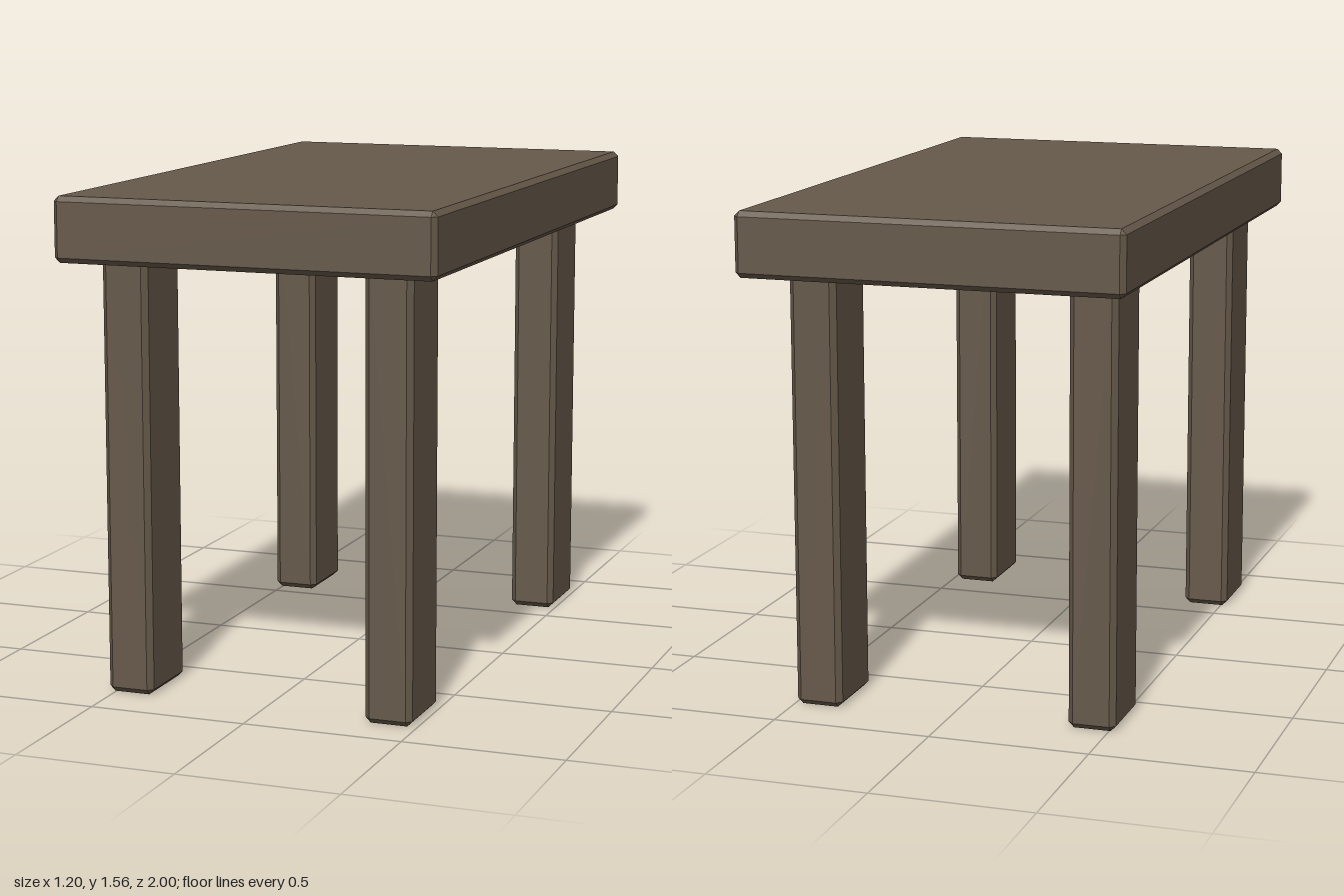
import * as THREE from 'three';
import { ConvexGeometry } from 'three/addons/geometries/ConvexGeometry.js';

// Box with flat chamfers on every edge: three corner points per corner
function chamferedBox(w, h, d, c) {
  const points = [];
  for (const sx of [-1, 1]) for (const sy of [-1, 1]) for (const sz of [-1, 1]) {
    const x = w / 2, y = h / 2, z = d / 2;
    points.push(
      new THREE.Vector3(sx * x, sy * (y - c), sz * (z - c)),
      new THREE.Vector3(sx * (x - c), sy * y, sz * (z - c)),
      new THREE.Vector3(sx * (x - c), sy * (y - c), sz * z)
    );
  }
  return new ConvexGeometry(points);
}

export function createModel() {
  const group = new THREE.Group();
  const wood = new THREE.MeshStandardMaterial({ color: 0x66594a, flatShading: true });

  const add = (name, geometry, x, y, z) => {
    const mesh = new THREE.Mesh(geometry, wood);
    mesh.name = name;
    mesh.position.set(x, y, z);
    group.add(mesh);
  };

  // Thick slab top
  add('tableTop', chamferedBox(1.2, 0.2, 2, 0.016), 0, 1.457, 0);

  // Four plank legs, set slightly unevenly and let into the slab
  const legHeight = 1.38;
  const leg = chamferedBox(0.149, legHeight, 0.25, 0.017);
  const legs = [
    ['frontLeftLeg', 0.411, 0.748],
    ['frontRightLeg', -0.447, 0.713],
    ['backLeftLeg', 0.419, -0.719],
    ['backRightLeg', -0.447, -0.677],
  ];
  for (const [name, x, z] of legs) add(name, leg, x, legHeight / 2, z);

  return group;
}
